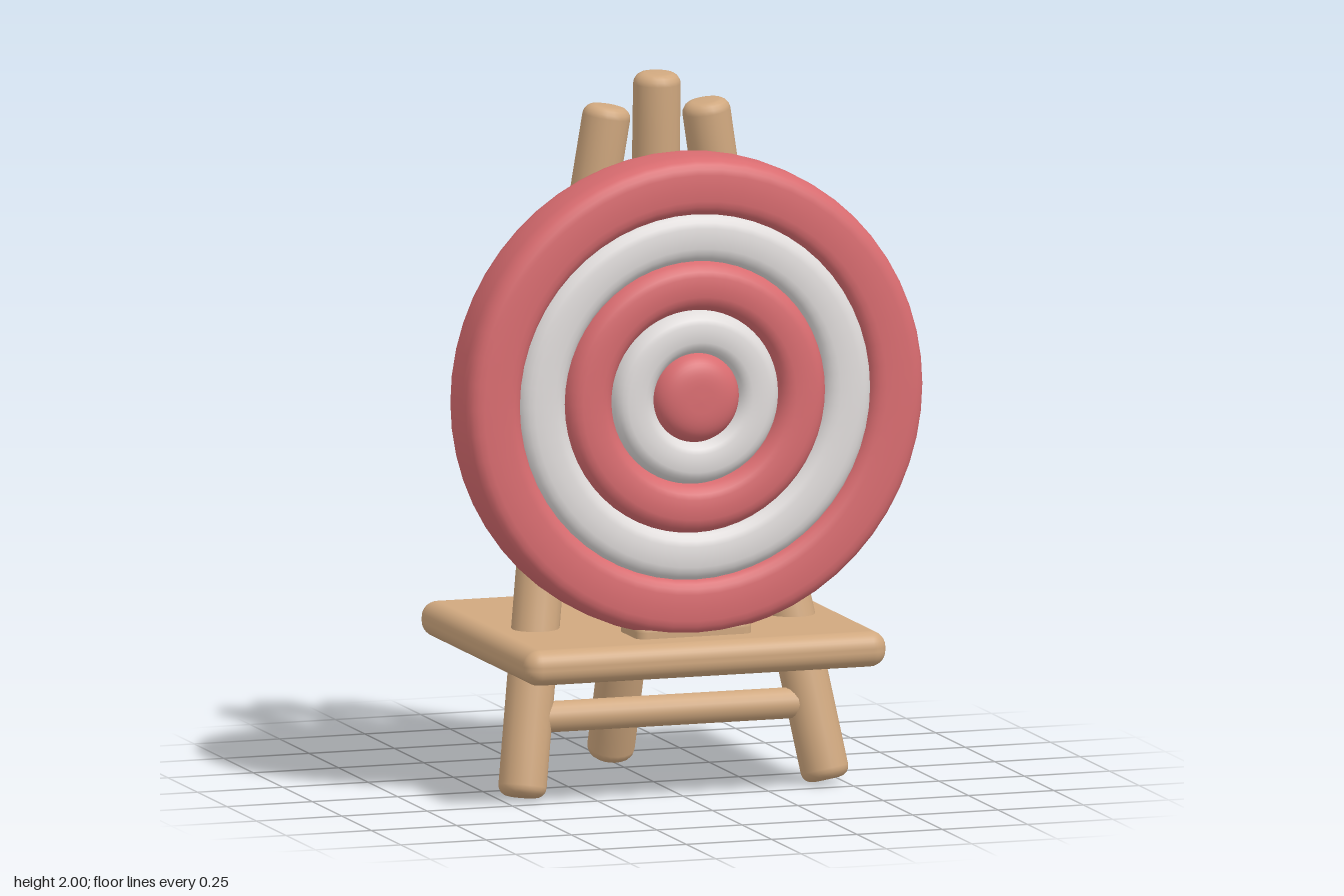
import * as THREE from 'three';
import { mergeVertices } from 'three/addons/utils/BufferGeometryUtils.js';
import { RoundedBoxGeometry } from 'three/addons/geometries/RoundedBoxGeometry.js';

const mat = (name, color) => {
  const m = new THREE.MeshStandardMaterial({ color });
  m.name = name;
  return m;
};

// Round pole with softened ends, bent along a smooth curve
function poleGeometry(points, r, soft = 0.03) {
  const curve = new THREE.CatmullRomCurve3(points.map(p => new THREE.Vector3(...p)));
  const length = curve.getLength();
  const profile = [new THREE.Vector2(0, 0)];
  for (let i = 0; i <= 4; i++) {
    const a = (i / 4) * Math.PI / 2;
    profile.push(new THREE.Vector2(r - soft + soft * Math.sin(a), soft - soft * Math.cos(a)));
  }
  for (let i = 1; i < 16; i++) profile.push(new THREE.Vector2(r, soft + (length - 2 * soft) * i / 16));
  for (let i = 0; i <= 4; i++) {
    const a = (i / 4) * Math.PI / 2;
    profile.push(new THREE.Vector2(r - soft + soft * Math.cos(a), length - soft + soft * Math.sin(a)));
  }
  profile.push(new THREE.Vector2(0, length));

  let geo = new THREE.LatheGeometry(profile, 20);
  const pos = geo.attributes.position;
  for (let i = 0; i < pos.count; i++) {
    const s = THREE.MathUtils.clamp(pos.getY(i) / length, 0, 1);
    const t = curve.getTangentAt(s);
    const side = new THREE.Vector3(1, 0, 0).addScaledVector(t, -t.x).normalize();
    const out = new THREE.Vector3().crossVectors(side, t);
    const p = curve.getPointAt(s).addScaledVector(side, pos.getX(i)).addScaledVector(out, pos.getZ(i));
    pos.setXYZ(i, p.x, p.y, p.z);
  }
  geo.deleteAttribute('uv');
  geo.deleteAttribute('normal');
  geo = mergeVertices(geo, 1e-4);
  geo.computeVertexNormals();
  return geo;
}

// Ring with a softly squared cross-section, facing +z; inner = 0 makes a disc
function ringGeometry(inner, outer, half, power) {
  const disc = inner === 0;
  const mid = disc ? 0 : (inner + outer) / 2;
  const w = outer - mid;
  const span = disc ? Math.PI / 2 : Math.PI;
  const soft = v => Math.sign(v) * Math.pow(Math.abs(v), 2 / power);
  const profile = [];
  for (let i = 0; i <= 28; i++) {
    const a = -span + (2 * span * i) / 28;
    profile.push(new THREE.Vector2(Math.max(0, mid + w * soft(Math.cos(a))), half * soft(Math.sin(a))));
  }
  return new THREE.LatheGeometry(profile, 56).rotateX(Math.PI / 2);
}

export function createModel() {
  const wood = mat('wood', 0xd0a87f);
  const red = mat('red', 0xd96c70);
  const white = mat('white', 0xe0dcdb);
  const model = new THREE.Group();
  model.name = 'targetStand';
  const add = (parent, name, geo, material, x = 0, y = 0, z = 0) => {
    const mesh = new THREE.Mesh(geo, material);
    mesh.name = name;
    mesh.position.set(x, y, z);
    parent.add(mesh);
  };

  // Shelf and the small rest under the target
  add(model, 'shelf', new RoundedBoxGeometry(1.06, 0.1, 0.94, 4, 0.045), wood, 0, 0.418, 0);
  add(model, 'targetRest', new RoundedBoxGeometry(0.34, 0.1, 0.17, 3, 0.03), wood, 0, 0.465, 0.275);

  // Two front legs, mirrored, and the single rear leg
  for (const [name, s] of [['leftFrontLeg', 1], ['rightFrontLeg', -1]]) {
    add(model, name, poleGeometry([
      [0.447 * s, 0.012, 0.175], [0.385 * s, 0.4, 0.095], [0.335 * s, 0.7, 0.03],
      [0.285 * s, 1.0, 0.004], [0.215 * s, 1.45, 0.01], [0.142 * s, 1.914, 0.025],
    ], 0.067), wood);
  }
  add(model, 'rearLeg', poleGeometry([
    [0, 0.016, -0.37], [0, 0.4, -0.235], [0, 0.7, -0.148],
    [0, 1.0, -0.075], [0, 1.25, -0.03], [0, 1.6, 0.01], [0, 2.0, 0.03],
  ], 0.066), wood);

  // Bar between the front legs
  add(model, 'crossbar', new THREE.CylinderGeometry(0.044, 0.044, 0.8, 16).rotateZ(Math.PI / 2),
    wood, 0, 0.226, 0.135);

  // Round target made of nested rings
  const target = new THREE.Group();
  target.name = 'target';
  target.position.set(0, 1.14, 0.278);
  model.add(target);
  const rings = [
    ['outerRing', 0.505, 0.674, 0.103, 3.6, red, 0],
    ['outerWhiteRing', 0.37, 0.525, 0.1, 3, white, 0],
    ['middleRing', 0.238, 0.388, 0.108, 3, red, 0.006],
    ['innerWhiteRing', 0.115, 0.25, 0.108, 3, white, 0.005],
    ['bullseye', 0, 0.132, 0.127, 3.6, red, 0.005],
  ];
  for (const [name, inner, outer, half, power, material, z] of rings) {
    add(target, name, ringGeometry(inner, outer, half, power), material, 0, 0, z);
  }
  return model;
}
